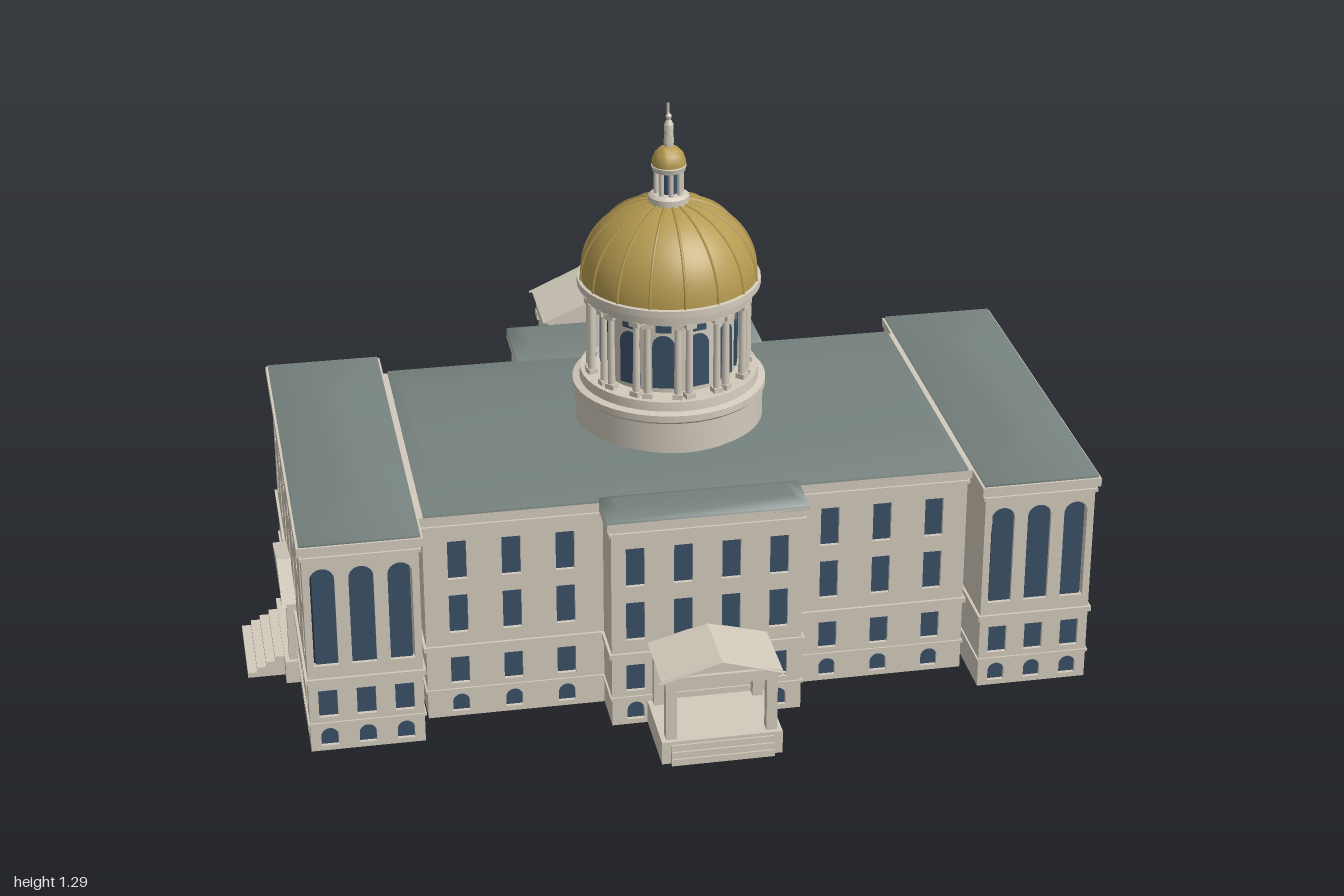
import * as THREE from 'three';
import { toCreasedNormals, mergeGeometries } from 'three/addons/utils/BufferGeometryUtils.js';

const mat = (color, side = THREE.FrontSide) => new THREE.MeshStandardMaterial({ color, side });
const STONE = mat(0xd2cabc), GLASS = mat(0x3a5068, THREE.DoubleSide);
const SLATE = mat(0x76827f, THREE.DoubleSide), GOLD = mat(0xb59a50);
const WALL_H = 0.5, THICK = 0.016;

function add(parent, name, geo, material, x = 0, y = 0, z = 0) {
  const m = new THREE.Mesh(geo, material);
  m.name = name;
  m.position.set(x, y, z);
  parent.add(m);
  return m;
}
function group(parent, name, x = 0, z = 0, rotY = 0) {
  const g = new THREE.Group();
  g.name = name;
  g.position.set(x, 0, z);
  g.rotation.y = rotY;
  parent.add(g);
  return g;
}
const box = (parent, name, w, h, d, x, y, z, m = STONE) =>
  add(parent, name, new THREE.BoxGeometry(w, h, d), m, x, y + h / 2, z);

const lathe = (parent, name, pts, material, seg = 48) => add(parent, name,
  toCreasedNormals(new THREE.LatheGeometry(pts.map(p => new THREE.Vector2(...p)), seg), 0.6), material);

// Window outline, with a round or square head
function opening(path, x, y0, y1, w, arched) {
  const r = w / 2;
  path.moveTo(x - r, y0);
  path.lineTo(x + r, y0);
  if (arched) {
    path.lineTo(x + r, y1 - r);
    path.absarc(x, y1 - r, r, 0, Math.PI, false);
  } else {
    path.lineTo(x + r, y1);
    path.lineTo(x - r, y1);
  }
  path.closePath();
  return path;
}

// Window rows: bottom, top, width, arched
const LOW = [[0.012, 0.056, 0.038, true], [0.085, 0.152, 0.042, false]];
const PLAIN = [...LOW, [0.215, 0.31, 0.042, false], [0.35, 0.445, 0.042, false]];
const GRAND = [...LOW, [0.215, 0.455, 0.054, true]];

// One pierced wall with glass inside its thickness, string courses and cornice
function facade(parent, w, cols, rows) {
  const shape = new THREE.Shape([[-w / 2, 0], [w / 2, 0], [w / 2, WALL_H], [-w / 2, WALL_H]]
    .map(p => new THREE.Vector2(...p)));
  for (const x of cols)
    for (const r of rows) shape.holes.push(opening(new THREE.Path(), x, ...r));
  const geo = new THREE.ExtrudeGeometry(shape, { depth: THICK, bevelEnabled: false, curveSegments: 8 });
  add(parent, 'wall', geo, STONE, 0, 0, -THICK);
  if (cols.length) add(parent, 'windowGlass', new THREE.PlaneGeometry(w - 0.04, 0.47), GLASS, 0, 0.245, -THICK * 0.55);
  for (const [y, h, d] of [[0.066, 0.006, 0.004], [0.172, 0.012, 0.006], [0.478, 0.008, 0.005], [0.494, 0.02, 0.01]])
    box(parent, 'stringCourse', w + 2 * d, h, d + 0.004, 0, y, d / 2 - 0.002);
}

const spread = (n, w) => Array.from({ length: n }, (_, i) => ((i + 0.5) / n - 0.5) * w);

// Hollow block, open underneath; sides are listed +z, +x, -z, -x
function block(parent, name, x0, x1, z0, z1, sides) {
  const hx = (x1 - x0) / 2, hz = (z1 - z0) / 2;
  const g = group(parent, name, (x0 + x1) / 2, (z0 + z1) / 2);
  sides.forEach(([cols, rows = PLAIN], k) => {
    const a = k * Math.PI / 2, dist = k % 2 ? hx : hz, w = 2 * (k % 2 ? hz : hx);
    const f = group(g, 'facade', Math.sin(a) * dist, Math.cos(a) * dist, a);
    facade(f, w, typeof cols === 'number' ? spread(cols, w) : cols, rows);
  });
  return g;
}

// Low hipped roof from three stacked rectangles, softly shaded
function hipRoof(parent, name, hx, hz, inX, inZ, h, x = 0, z = 0) {
  const y0 = 0.508, pos = [], idx = [];
  for (const [a, b, y] of [[hx, hz, y0], [hx, hz, y0 + 0.012], [hx - inX, hz - inZ, y0 + 0.012 + h]])
    pos.push(-a, y, b, a, y, b, a, y, -b, -a, y, -b);
  for (let r = 0; r < 2; r++)
    for (let i = 0; i < 4; i++) {
      const a = r * 4 + i, b = r * 4 + (i + 1) % 4;
      idx.push(a, b, b + 4, a, b + 4, a + 4);
    }
  idx.push(8, 9, 10, 8, 10, 11);
  const geo = new THREE.BufferGeometry();
  geo.setAttribute('position', new THREE.Float32BufferAttribute(pos, 3));
  geo.setIndex(idx);
  geo.computeVertexNormals();
  add(parent, name, geo, SLATE, x, 0, z);
}

const triangle = (T, w, y0, y1) => new T([[-w / 2, y0], [w / 2, y0], [0, y1]].map(p => new THREE.Vector2(...p)));

// Gabled porch projecting along its own +z
function porch(parent, name, x, z, rotY, o) {
  const g = group(parent, name, x, z, rotY);
  const { w, d, floor, slab = floor, eave, ridge, beam, posts, round, r } = o;
  box(g, 'floor', w, slab, d, 0, floor - slab, d / 2);
  box(g, 'entablature', w - 0.02, beam, d - 0.01, 0, eave - beam, (d - 0.01) / 2);
  add(g, 'gable', new THREE.ExtrudeGeometry(triangle(THREE.Shape, w, eave, ridge),
    { depth: d - 0.008, bevelEnabled: false }), STONE);
  const rake = triangle(THREE.Shape, w + 0.012, eave - 0.004, ridge + 0.004);
  rake.holes.push(triangle(THREE.Path, w - 0.08, eave + 0.01, ridge - 0.012));
  add(g, 'pedimentMoulding', new THREE.ExtrudeGeometry(rake, { depth: 0.01, bevelEnabled: false }), STONE, 0, 0, d - 0.01);
  const h = eave - beam - floor, zc = d - r - 0.01;
  for (let i = 0; i < posts; i++) {
    const px = (i / (posts - 1) - 0.5) * (w - 2 * r - 0.022);
    if (round) {
      add(g, 'column', new THREE.CylinderGeometry(r * 0.8, r, h, 16), STONE, px, floor + h / 2, zc);
      box(g, 'columnBase', r * 2.4, 0.012, r * 2.4, px, floor, zc);
      box(g, 'capital', r * 2.4, 0.016, r * 2.4, px, floor + h - 0.016, zc);
      box(g, 'pier', r * 2.4, floor - slab, r * 2.4, px, 0, zc);
    } else {
      box(g, 'pier', 2 * r, h, 2 * r, px, floor, zc);
      if (d > 0.1) box(g, 'rearPier', 2 * r, h, 2 * r, px, floor, r);
    }
  }
  const { steps = 0, stairW, run } = o;
  for (let i = 0; i < steps; i++) {
    const depth = run * (steps - i) / steps;
    box(g, 'step', stairW, floor / (steps + 0.5), depth + 0.01, 0, i * floor / (steps + 0.5), d + depth / 2 - 0.005);
  }
}

// Drum, colonnade, gilded dome, lantern and finial figure
function rotunda(parent) {
  const g = group(parent, 'rotunda');
  lathe(g, 'drumBase', [[0.215, 0.51], [0.215, 0.612], [0.221, 0.618], [0.221, 0.634], [0.205, 0.638], [0.203, 0.66], [0.14, 0.66]], STONE);
  lathe(g, 'drumWall', [[0.152, 0.655], [0.152, 0.85]], STONE);
  lathe(g, 'drumCornice', [[0.15, 0.842], [0.192, 0.842], [0.194, 0.862], [0.208, 0.868], [0.208, 0.884], [0.19, 0.888]], STONE);
  const pane = mergeGeometries([[0.672, 0.8, 0.05, true], [0.808, 0.838, 0.036, true]].map(r =>
    new THREE.ExtrudeGeometry(opening(new THREE.Shape(), 0, ...r), { depth: 0.008, bevelEnabled: false, curveSegments: 6 })));
  const post = new THREE.CylinderGeometry(0.0075, 0.009, 0.185, 10);
  for (let i = 0; i < 12; i++) {
    const bay = group(g, 'drumBay', 0, 0, (i + 0.5) * Math.PI / 6);
    add(bay, 'drumWindow', pane, GLASS, 0, 0, 0.148);
    for (const s of [-1, 1]) {
      const a = s * 0.19;
      add(bay, 'drumColumn', post, STONE, 0.181 * Math.sin(a), 0.7525, 0.181 * Math.cos(a));
      box(bay, 'drumColumnCapital', 0.024, 0.012, 0.024, 0.181 * Math.sin(a), 0.832, 0.181 * Math.cos(a));
      box(bay, 'drumColumnBase', 0.022, 0.014, 0.022, 0.181 * Math.sin(a), 0.658, 0.181 * Math.cos(a));
    }
  }
  const arc = Array.from({ length: 15 }, (_, i) => {
    const t = i / 14 * 1.38;
    return [0.201 * Math.cos(t), 0.882 + 0.186 * Math.sin(t)];
  });
  lathe(g, 'dome', arc, GOLD);
  const rib = new THREE.TubeGeometry(new THREE.CatmullRomCurve3(arc.map(([r, y]) => new THREE.Vector3(0, y, r))), 18, 0.0035, 5);
  for (let i = 0; i < 16; i++) add(g, 'domeRib', rib, GOLD).rotation.y = i * Math.PI / 8;

  lathe(g, 'lanternBase', [[0.046, 1.055], [0.046, 1.078], [0.038, 1.084], [0, 1.084]], STONE, 24);
  lathe(g, 'lanternCore', [[0.02, 1.08], [0.02, 1.145]], GLASS, 16);
  for (let i = 0; i < 8; i++) {
    const a = i * Math.PI / 4;
    add(g, 'lanternColumn', new THREE.CylinderGeometry(0.0055, 0.0055, 0.062, 8), STONE, 0.029 * Math.sin(a), 1.113, 0.029 * Math.cos(a));
  }
  lathe(g, 'lanternCornice', [[0, 1.138], [0.037, 1.138], [0.04, 1.15], [0.036, 1.153]], STONE, 24);
  lathe(g, 'lanternDome', [[0.038, 1.15], [0.038, 1.162], [0.032, 1.178], [0.02, 1.19], [0.008, 1.195], [0, 1.196]], GOLD, 24);
  lathe(g, 'finialFigure', [[0.01, 1.19], [0.012, 1.205], [0.01, 1.225], [0.011, 1.245], [0.005, 1.256], [0.007, 1.265], [0, 1.274]], STONE, 12);
  const arm = new THREE.CatmullRomCurve3([[0, 1.248, 0], [-0.009, 1.262, 0], [-0.008, 1.294, 0]].map(p => new THREE.Vector3(...p)));
  add(g, 'finialArm', new THREE.TubeGeometry(arm, 8, 0.0035, 6), STONE);
}

export function createModel() {
  const model = new THREE.Group();
  model.name = 'domedStatehouse';
  const b = group(model, 'building', 0, 0, -0.583);
  const mirror = a => [...a.map(v => -v), ...a];

  // Main block and projecting side bays
  block(b, 'mainBlock', -0.36, 0.36, -0.615, 0.615, [[[]], [mirror([0.3, 0.42, 0.54])], [[]], [mirror([0.36, 0.455, 0.55])]]);
  hipRoof(b, 'mainRoof', 0.37, 0.612, 0.18, 0.03, 0.022);
  block(b, 'leftBay', 0.345, 0.465, -0.215, 0.215, [[[]], [4], [[]], [[]]]);
  hipRoof(b, 'leftBayRoof', 0.06, 0.225, 0.03, 0.03, 0.012, 0.415);
  block(b, 'rightBay', -0.55, -0.345, -0.29, 0.29, [[[]], [[]], [[]], [5]]);
  hipRoof(b, 'rightBayRoof', 0.1, 0.3, 0.04, 0.04, 0.015, -0.46);

  // End wings
  for (const s of [1, -1]) {
    const ends = s > 0 ? [[7], [3, GRAND], [[]], [3, GRAND]] : [[[]], [3, GRAND], [7], [3, GRAND]];
    block(b, s > 0 ? 'frontWing' : 'backWing', -0.45, 0.45, s > 0 ? 0.632 : -0.885, s > 0 ? 0.885 : -0.632, ends);
    hipRoof(b, 'wingRoof', 0.455, 0.131, 0.2, 0.1, 0.025, 0, s * 0.7585);
  }

  // Porches: stepped front, plain back, small left, tall columned right
  const small = { floor: 0.055, eave: 0.205, ridge: 0.24, beam: 0.022, posts: 2, r: 0.012 };
  porch(b, 'frontPorch', 0, 0.883, 0, { ...small, w: 0.3, d: 0.034, steps: 4, stairW: 0.22, run: 0.085 });
  porch(b, 'backPorch', 0, -0.883, Math.PI, { ...small, w: 0.4, d: 0.034 });
  porch(b, 'leftPorch', 0.463, 0, Math.PI / 2, { ...small, w: 0.27, d: 0.18, steps: 3, stairW: 0.23, run: 0.012 });
  porch(b, 'rightPortico', -0.548, 0, -Math.PI / 2, {
    w: 0.42, d: 0.207, floor: 0.19, slab: 0.03, eave: 0.53, ridge: 0.618, beam: 0.05,
    posts: 6, round: true, r: 0.014, steps: 8, stairW: 0.3, run: 0.085,
  });

  rotunda(b);
  return model;
}
